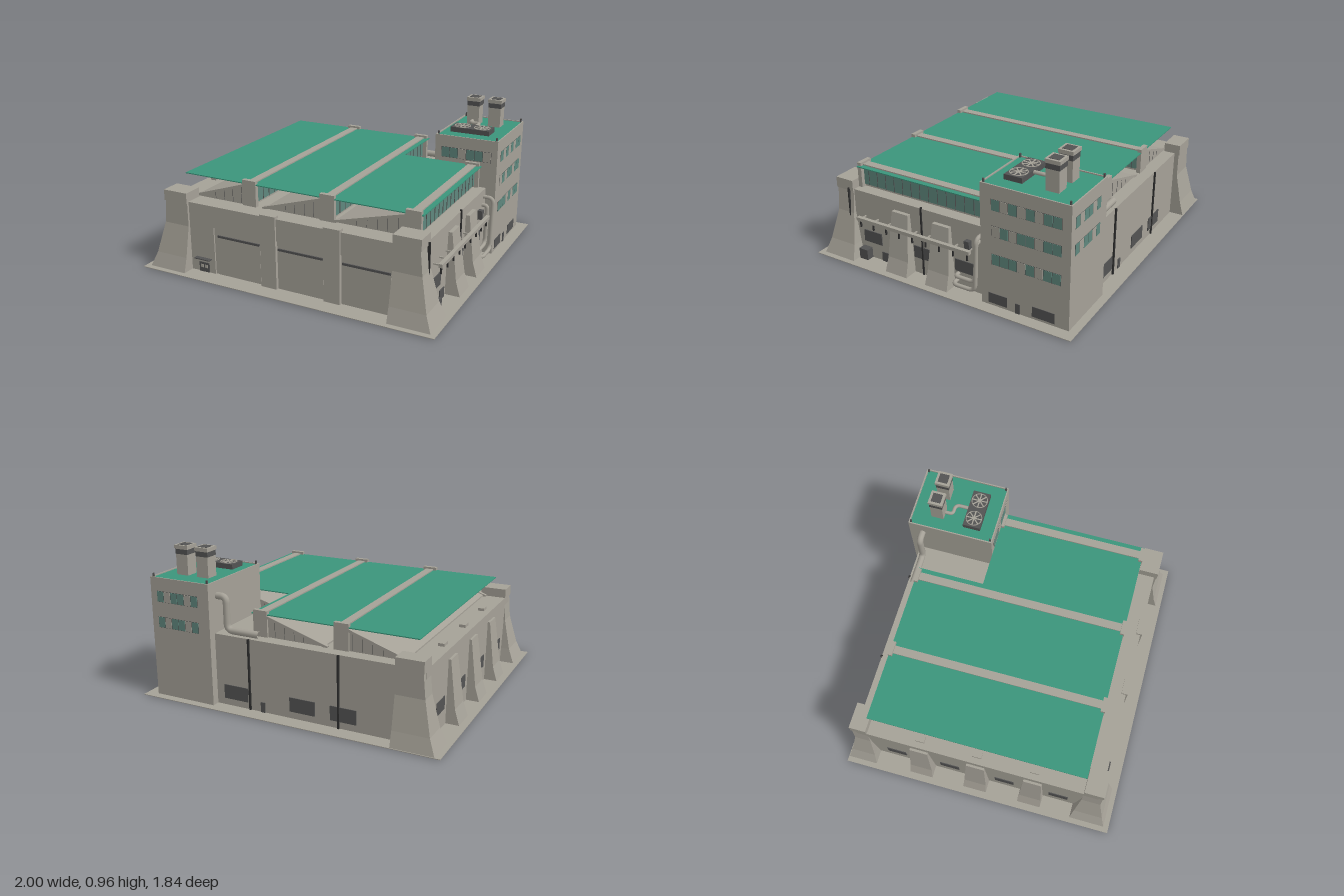
import * as THREE from 'three';

const mat = (name, color) => Object.assign(new THREE.MeshStandardMaterial({ color }), { name });
const concrete = mat('concrete', 0xa5a197);
const green = mat('greenRoof', 0x3b957b);
const glass = mat('glass', 0x5f877d);
const dark = mat('darkMetal', 0x535353);
const black = mat('blackMetal', 0x303030);

export function createModel() {
  const root = new THREE.Group();
  root.name = 'factory';

  const add = (name, geo, m) => {
    const mesh = new THREE.Mesh(geo, m);
    mesh.name = name;
    root.add(mesh);
    return mesh;
  };
  // box from its limits
  const box = (name, m, x0, x1, y0, y1, z0, z1) => {
    const mesh = add(name, new THREE.BoxGeometry(Math.abs(x1 - x0), y1 - y0, Math.abs(z1 - z0)), m);
    mesh.position.set((x0 + x1) / 2, (y0 + y1) / 2, (z0 + z1) / 2);
    return mesh;
  };
  // loft through rectangles [y, xa, xb, za, zb], bottom to top
  const loft = (name, m, sections) => {
    const rings = sections.map(([y, xa, xb, za, zb]) => {
      const x0 = Math.min(xa, xb), x1 = Math.max(xa, xb), z0 = Math.min(za, zb), z1 = Math.max(za, zb);
      return [[x0, y, z1], [x1, y, z1], [x1, y, z0], [x0, y, z0]];
    });
    const pos = [];
    const quad = (a, b, c, d) => pos.push(...a, ...b, ...c, ...a, ...c, ...d);
    for (let i = 0; i < rings.length - 1; i++) {
      for (let k = 0; k < 4; k++) {
        const n = (k + 1) % 4;
        quad(rings[i][k], rings[i][n], rings[i + 1][n], rings[i + 1][k]);
      }
    }
    quad(...rings[rings.length - 1]);
    quad(...[...rings[0]].reverse());
    const geo = new THREE.BufferGeometry();
    geo.setAttribute('position', new THREE.Float32BufferAttribute(pos, 3));
    geo.computeVertexNormals();
    return add(name, geo, m);
  };
  // pipe with rounded bends
  const pipe = (name, m, r, pts) => {
    const v = pts.map((p) => new THREE.Vector3(...p));
    const path = new THREE.CurvePath();
    let last = v[0];
    for (let i = 1; i < v.length - 1; i++) {
      const bend = Math.min(0.045, v[i].distanceTo(v[i - 1]) * 0.48, v[i].distanceTo(v[i + 1]) * 0.48);
      const a = v[i].clone().add(v[i - 1].clone().sub(v[i]).setLength(bend));
      const b = v[i].clone().add(v[i + 1].clone().sub(v[i]).setLength(bend));
      path.add(new THREE.LineCurve3(last, a));
      path.add(new THREE.QuadraticBezierCurve3(a, v[i], b));
      last = b;
    }
    path.add(new THREE.LineCurve3(last, v[v.length - 1]));
    add(name, new THREE.TubeGeometry(path, 60, r, 10), m);
  };

  // ground slab, green underside and main hall
  box('groundSlab', concrete, -1, 1, 0.002, 0.006, -0.92, 0.92);
  box('underside', green, -0.86, 0.86, 0, 0.002, -0.8, 0.8);
  box('hall', concrete, -0.87, 0.86, 0.006, 0.46, -0.82, 0.79);

  // corner piers with flared feet
  for (const [sx, sz, foot, top, inFoot, inTop] of [
    [-1, 1, 0.885, 0.815, 0.65, 0.69],
    [1, 1, 0.885, 0.815, 0.65, 0.69],
    [-1, -1, 0.915, 0.85, 0.72, 0.745],
  ]) {
    const mid = foot + (top - foot) * 0.4, inMid = inFoot + (inTop - inFoot) * 0.4;
    loft('cornerPier', concrete, [
      [0.006, sx * 0.7, sx * 0.965, sz * inFoot, sz * foot],
      [0.1, sx * 0.7, sx * 0.927, sz * inMid, sz * mid],
      [0.3, sx * 0.7, sx * 0.88, sz * inTop, sz * top],
      [0.46, sx * 0.7, sx * 0.865, sz * inTop, sz * top],
    ]);
    box('pierCap', concrete, sx * 0.7, sx * 0.872, 0.45, 0.52, sz * inTop, sz * (top + 0.005));
  }

  // tapered side buttresses
  const buttress = (s, z) => loft('buttress', concrete, [
    [0.006, s * 0.85, s * 0.955, z - 0.08, z + 0.08],
    [0.1, s * 0.85, s * 0.925, z - 0.075, z + 0.075],
    [0.4, s * 0.85, s * 0.885, z - 0.06, z + 0.06],
  ]);
  [-0.4, -0.02, 0.36].forEach((z) => buttress(-1, z));
  [0.317, 0.015].forEach((z) => buttress(1, z));

  // front wall: pilasters, fascia, gate slots and door
  box('fascia', concrete, -0.7, 0.7, 0.32, 0.46, 0.785, 0.8);
  box('frontPanel', concrete, -0.7, -0.52, 0.006, 0.32, 0.785, 0.8);
  for (const x of [-0.117, 0.315]) box('pilaster', concrete, x - 0.054, x + 0.054, 0.006, 0.475, 0.77, 0.812);
  for (const x of [-0.34, 0.095, 0.53]) {
    box('gate', concrete, x - 0.155, x + 0.155, 0.006, 0.26, 0.785, 0.793);
    box('gateSlot', dark, x - 0.153, x + 0.153, 0.258, 0.272, 0.785, 0.798);
  }
  box('frontDoor', dark, -0.64, -0.565, 0.006, 0.07, 0.8, 0.805);
  for (const x of [-0.618, -0.587]) box('doorWindow', concrete, x - 0.01, x + 0.01, 0.035, 0.055, 0.805, 0.807);
  box('doorCanopy', dark, -0.66, -0.545, 0.096, 0.102, 0.79, 0.83);

  // sawtooth roof: sloped body, glazed right side, end posts and ridge beam
  for (const [x0, xr, zb] of [[-0.72, -0.305, -0.735], [-0.21, 0.235, -0.735], [0.27, 0.78, -0.29]]) {
    const zf = 0.675;
    const shape = new THREE.Shape([
      new THREE.Vector2(x0, 0.455), new THREE.Vector2(xr, 0.455),
      new THREE.Vector2(xr, 0.595), new THREE.Vector2(xr - 0.04, 0.595), new THREE.Vector2(x0, 0.47),
    ]);
    const body = add('sawtooth', new THREE.ExtrudeGeometry(shape, { depth: zf - zb, bevelEnabled: false }), concrete);
    body.position.z = zb;
    box('roofGlazing', glass, xr, xr + 0.008, 0.475, 0.592, zb + 0.02, zf - 0.01);
    for (let z = zb + 0.06; z < zf - 0.02; z += 0.0655) {
      box('mullion', dark, xr + 0.006, xr + 0.011, 0.475, 0.592, z - 0.0015, z + 0.0015);
    }
    const c = xr - 0.015;
    box('ridgeBeam', concrete, c - 0.027, c + 0.027, 0.58, 0.612, zb, zf);
    for (const z of [zf, zb]) {
      box('ridgePost', concrete, c - 0.048, c + 0.048, 0.455, 0.625, z - 0.013, z + 0.015);
      // sloped edge beam on each gable
      const len = Math.hypot(xr - x0, 0.13);
      const rake = box('rakeBeam', concrete, -len / 2, len / 2, -0.008, 0.008, -0.012, 0.012);
      rake.position.set((x0 + xr) / 2 - 0.02, 0.53, z);
      rake.rotation.z = Math.atan2(0.125, xr - 0.04 - x0);
      const out = z === zf ? 1 : -1;
      for (let x = x0 + 0.14; x < c - 0.05; x += 0.065) {
        const h = 0.47 + 0.125 * (x - x0) / (xr - 0.04 - x0);
        box('gableMullion', dark, x - 0.001, x + 0.001, 0.465, h - 0.01, z, z + out * 0.002);
      }
    }
  }
  // flat green roof sheet, notched around the tower
  const sheet = new THREE.Shape([[-0.8, -0.685], [0.825, -0.685], [0.825, 0.297], [0.28, 0.297], [0.28, 0.745], [-0.8, 0.745]]
    .map((p) => new THREE.Vector2(...p)));
  const roof = add('roofSheet', new THREE.ExtrudeGeometry(sheet, { depth: 0.006, bevelEnabled: false }), green);
  roof.rotation.x = -Math.PI / 2;
  roof.position.y = 0.598;

  // office tower with parapet
  box('tower', concrete, 0.5, 0.925, 0.006, 0.77, -0.87, -0.297);
  box('towerRoof', green, 0.51, 0.915, 0.768, 0.774, -0.86, -0.307);
  for (const x of [0.5, 0.917]) box('parapet', concrete, x, x + 0.008, 0.765, 0.78, -0.87, -0.297);
  for (const z of [-0.87, -0.305]) box('parapet', concrete, 0.5, 0.925, 0.765, 0.78, z, z + 0.008);
  for (const x of [0.515, 0.91]) for (const z of [-0.855, -0.312]) box('roofLamp', dark, x - 0.005, x + 0.005, 0.77, 0.8, z - 0.005, z + 0.005);

  // window rows; zeros in the pattern are blind panes
  const windowRow = (side, from, to, y, pattern) => {
    const w = (to - from) / pattern.length;
    const frame = (m, a, b, d, y0, y1) => {
      if (side === 'right') box('window', m, 0.924, 0.925 + d, y0, y1, a, b);
      else if (side === 'front') box('window', m, a, b, y0, y1, -0.298, -0.297 + d);
      else box('window', m, a, b, y0, y1, -0.87 - d, -0.869);
    };
    frame(dark, from, to, 0.001, y - 0.035, y + 0.035);
    pattern.forEach((p, i) => frame(p ? glass : concrete, from + i * w + 0.002, from + (i + 1) * w - 0.002, 0.003, y - 0.033, y + 0.033));
  };
  windowRow('right', -0.815, -0.37, 0.66, [1, 1, 0, 1, 0, 1, 0, 1]);
  windowRow('right', -0.815, -0.37, 0.495, [1, 1, 0, 1, 1, 0, 1, 0]);
  windowRow('right', -0.815, -0.37, 0.315, [1, 1, 0, 1, 0, 1, 1, 1]);
  windowRow('front', 0.545, 0.885, 0.667, [1, 1, 0, 1, 1, 0]);
  for (const y of [0.66, 0.495]) windowRow('back', 0.58, 0.88, y, [1, 0, 1, 1, 0, 1]);
  for (const [a, b] of [[-0.47, -0.345], [-0.78, -0.635]]) box('towerGrille', dark, 0.92, 0.928, 0.022, 0.088, a, b);
  box('towerDoor', dark, 0.92, 0.929, 0.006, 0.07, -0.555, -0.525);

  // chimneys with louvre bands and caps
  for (const x of [0.63, 0.78]) {
    const z = -0.695;
    box('chimney', concrete, x - 0.042, x + 0.042, 0.77, 0.945, z - 0.042, z + 0.042);
    box('chimneyLouvre', dark, x - 0.044, x + 0.044, 0.905, 0.936, z - 0.044, z + 0.044);
    box('chimneyCap', concrete, x - 0.048, x + 0.048, 0.94, 0.962, z - 0.048, z + 0.048);
    box('chimneyMouth', dark, x - 0.032, x + 0.032, 0.96, 0.964, z - 0.032, z + 0.032);
  }
  // cooling unit with two fans
  box('coolingUnit', dark, 0.565, 0.83, 0.78, 0.813, -0.512, -0.395);
  for (const x of [0.63, 0.765]) {
    const ring = add('fanRing', new THREE.TorusGeometry(0.052, 0.003, 6, 24), concrete);
    ring.rotation.x = Math.PI / 2;
    ring.position.set(x, 0.814, -0.453);
    for (let i = 0; i < 4; i++) {
      const blade = box('fanBlade', concrete, -0.05, 0.05, 0, 0.003, -0.004, 0.004);
      blade.position.set(x, 0.8145, -0.453);
      blade.rotation.y = i * Math.PI / 4;
    }
  }
  pipe('roofDuct', concrete, 0.012, [[0.63, 0.8, -0.65], [0.63, 0.8, -0.6], [0.7, 0.8, -0.6], [0.7, 0.8, -0.5]]);

  // pipe from the tower down onto the hall roof
  pipe('roofPipe', concrete, 0.022, [[0.51, 0.69, -0.78], [0.435, 0.69, -0.78], [0.435, 0.48, -0.78], [0.21, 0.48, -0.78]]);

  // pipes, light rail and openings on the right wall
  pipe('wallPipe', concrete, 0.013, [[0.85, 0.06, -0.09], [0.925, 0.06, -0.09], [0.925, 0.06, -0.25], [0.925, 0.41, -0.265], [0.85, 0.41, -0.265]]);
  pipe('wallPipe', concrete, 0.013, [[0.85, 0.097, -0.09], [0.895, 0.097, -0.09], [0.895, 0.097, -0.235], [0.895, 0.36, -0.245], [0.85, 0.36, -0.245]]);
  box('lightRail', concrete, 0.9, 0.925, 0.285, 0.308, -0.21, 0.63);
  for (let i = 0; i < 9; i++) {
    const z = 0.61 - i * 0.1;
    box('railBracket', concrete, 0.85, 0.92, 0.29, 0.298, z - 0.004, z + 0.004);
    box('railLamp', black, 0.905, 0.915, 0.24, 0.285, z - 0.004, z + 0.004);
  }
  box('switchBox', dark, 0.86, 0.89, 0.29, 0.35, -0.19, -0.155);
  box('drainPipe', black, 0.855, 0.868, 0.006, 0.47, 0.165, 0.175);
  box('pierSlot', black, 0.86, 0.885, 0.27, 0.47, 0.716, 0.723);
  for (const [a, b] of [[0.49, 0.63], [0.11, 0.235], [-0.21, -0.07]]) box('rightGrille', dark, 0.855, 0.866, 0.115, 0.195, a, b);
  box('utilityBox', dark, 0.86, 0.91, 0.006, 0.077, 0.578, 0.643);
  box('sideDoor', dark, 0.855, 0.866, 0.006, 0.07, 0.425, 0.495);

  // grilles on the left wall, grilles and drains on the back wall
  for (const z of [-0.58, -0.21, 0.17, 0.54]) box('leftGrille', dark, -0.875, -0.865, 0.115, 0.195, z - 0.065, z + 0.065);
  for (const x of [0.36, -0.1, -0.37]) box('backGrille', dark, x - 0.085, x + 0.085, 0.05, 0.14, -0.825, -0.815);
  for (const x of [0.26, -0.34]) box('backDrain', black, x - 0.006, x + 0.006, 0.006, 0.46, -0.83, -0.815);
  box('backDoor', dark, 0.155, 0.185, 0.006, 0.07, -0.826, -0.815);
  for (const z of [-0.4, -0.02, 0.36]) box('roofVent', concrete, -0.83, -0.79, 0.46, 0.478, z - 0.03, z + 0.03);

  return root;
}
